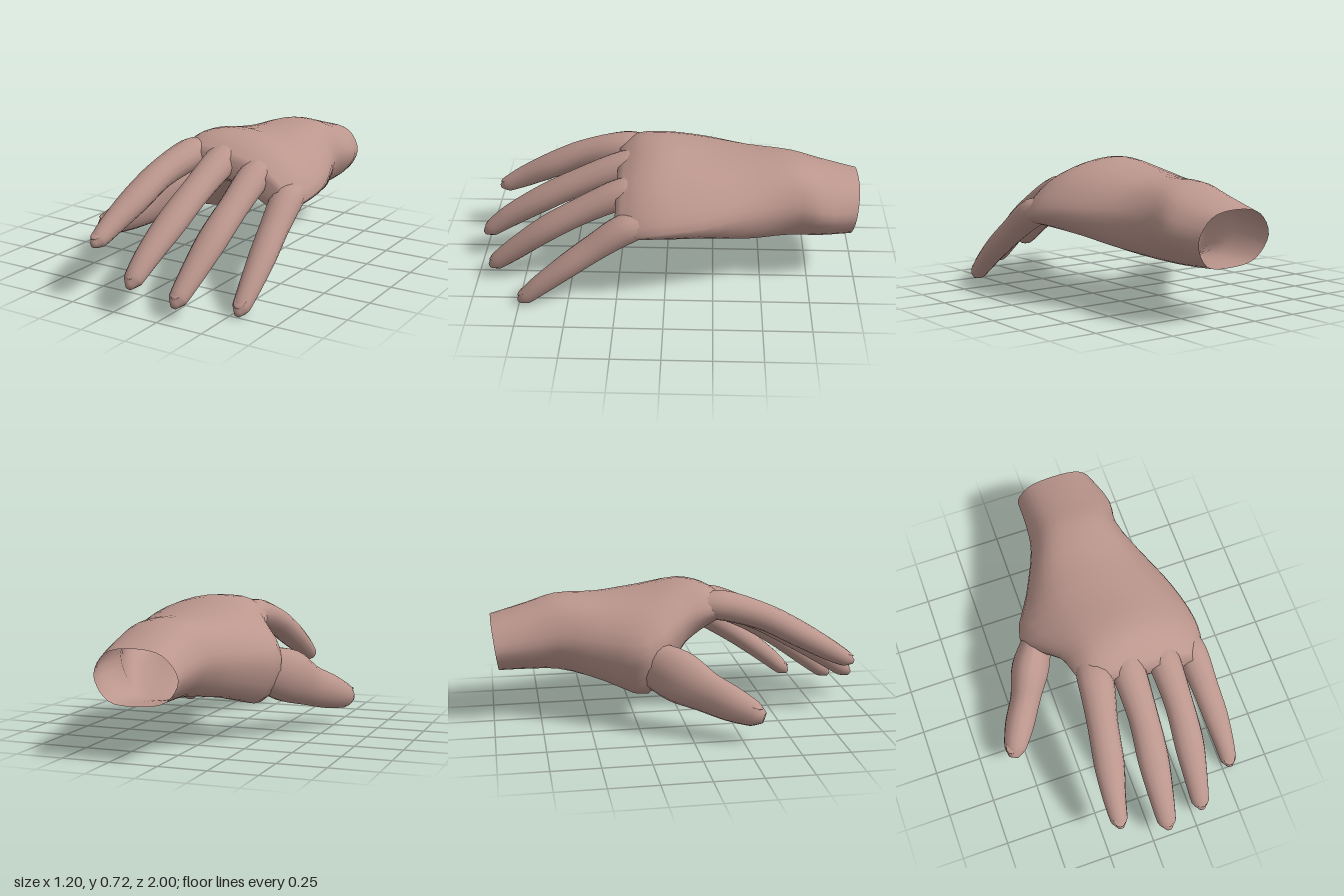
import * as THREE from 'three';

const skin = new THREE.MeshStandardMaterial({ color: 0xbb968d, side: THREE.DoubleSide });
skin.name = 'skin';

// Smooth skin over rings of points that run counterclockwise about the path,
// open at the first ring and closed at the last
function skinRings(rings) {
  const n = rings[0].length, pos = [], idx = [], last = (rings.length - 1) * n;
  rings.forEach(r => r.forEach(p => pos.push(p.x, p.y, p.z)));
  const centre = new THREE.Vector3();
  rings[rings.length - 1].forEach(p => centre.addScaledVector(p, 1 / n));
  pos.push(centre.x, centre.y, centre.z);
  for (let i = 0; i < n; i++) {
    const next = (i + 1) % n;
    for (let j = 0; j < last; j += n) {
      idx.push(j + i, j + next, j + n + i, j + next, j + n + next, j + n + i);
    }
    idx.push(last + n, last + i, last + next);
  }
  const g = new THREE.BufferGeometry();
  g.setAttribute('position', new THREE.Float32BufferAttribute(pos, 3));
  g.setIndex(idx);
  g.computeVertexNormals();
  return g;
}

// Digit along joints [x, y, z, half width, half thickness]
function digit(name, joints) {
  const path = new THREE.CatmullRomCurve3(joints.map(j => new THREE.Vector3(j[0], j[1], j[2])));
  const size = new THREE.CatmullRomCurve3(joints.map(j => new THREE.Vector3(j[3], j[4], 0)));
  const rings = [], up = new THREE.Vector3(0, 1, 0), steps = (joints.length - 1) * 4;
  for (let s = 0; s <= steps; s++) {
    const c = path.getPoint(s / steps), r = size.getPoint(s / steps);
    const t = path.getTangent(s / steps);
    const side = new THREE.Vector3().crossVectors(up, t).normalize();
    const top = new THREE.Vector3().crossVectors(t, side);
    const ring = [];
    for (let i = 0; i < 14; i++) {
      const a = i / 14 * Math.PI * 2;
      ring.push(c.clone().addScaledVector(side, Math.cos(a) * r.x).addScaledVector(top, Math.sin(a) * r.y));
    }
    rings.push(ring);
  }
  const mesh = new THREE.Mesh(skinRings(rings), skin);
  mesh.name = name;
  return mesh;
}

// Palm sections: z, then outline from the little-finger edge over the back and under the palm
const palmSections = [
  [-0.98, [[.335, .41], [.27, .52], [.12, .55], [-.03, .52], [-.10, .41], [-.03, .3], [.12, .27], [.27, .29]]],
  [-0.80, [[.385, .43], [.30, .56], [.12, .61], [-.03, .57], [-.105, .43], [-.03, .3], [.12, .27], [.28, .28]]],
  [-0.65, [[.37, .45], [.29, .61], [.12, .65], [-.04, .61], [-.13, .45], [-.05, .3], [.12, .26], [.28, .28]]],
  [-0.42, [[.445, .47], [.32, .61], [.10, .655], [-.12, .60], [-.235, .43], [-.15, .245], [.12, .295], [.39, .32]]],
  [-0.20, [[.53, .46], [.38, .62], [.11, .68], [-.15, .63], [-.345, .43], [-.235, .19], [.13, .355], [.46, .36]]],
  [0.02, [[.578, .45], [.43, .62], [.15, .718], [-.08, .69], [-.19, .56], [-.10, .42], [.20, .42], [.50, .38]]],
  [0.15, [[.57, .43], [.42, .60], [.15, .69], [-.06, .69], [-.15, .59], [-.06, .50], [.22, .46], [.49, .38]]],
  [0.25, [[.53, .41], [.39, .555], [.14, .625], [-.05, .63], [-.11, .58], [-.04, .54], [.24, .50], [.46, .39]]],
];

function palm() {
  const outlines = palmSections.map(([z, pts]) => new THREE.CatmullRomCurve3(
    // the wrist opening leans slightly back at the top
    pts.map(([x, y]) => new THREE.Vector3(x, y, z < -0.9 ? z - (y - .41) * .13 : z)), true));
  const columns = 32, steps = 21;
  const lengthwise = [];
  for (let i = 0; i < columns; i++) {
    lengthwise.push(new THREE.CatmullRomCurve3(outlines.map(o => o.getPoint(i / columns))));
  }
  const rings = [];
  for (let s = 0; s <= steps; s++) rings.push(lengthwise.map(c => c.getPoint(s / steps)));
  const mesh = new THREE.Mesh(skinRings(rings), skin);
  mesh.name = 'palmAndWrist';
  return mesh;
}

// Thin raised nail at a fingertip
function nail(name, x, y, z, pitch, yaw = 0) {
  const mesh = new THREE.Mesh(new THREE.SphereGeometry(1, 10, 4, 0, Math.PI * 2, 0, Math.PI / 2), skin);
  mesh.scale.set(.032, .008, .042);
  mesh.position.set(x, y, z);
  mesh.rotation.set(pitch, yaw, 0, 'YXZ');
  mesh.name = name;
  return mesh;
}

export function createModel() {
  const hand = new THREE.Group();
  hand.name = 'hand';
  hand.add(palm());

  hand.add(digit('indexFinger', [
    [-.055, .605, .11, .08, .065], [-.06, .605, .22, .094, .08], [-.10, .54, .45, .08, .072],
    [-.125, .46, .61, .08, .07], [-.155, .36, .79, .06, .058],
    [-.165, .305, .89, .045, .042], [-.167, .287, .93, .014, .014]]));
  hand.add(digit('middleFinger', [
    [.12, .61, .11, .075, .065], [.12, .585, .22, .09, .08], [.12, .485, .46, .08, .072],
    [.108, .385, .64, .083, .07], [.092, .255, .84, .066, .06],
    [.085, .17, .95, .05, .045], [.085, .14, .99, .016, .016]]));
  hand.add(digit('ringFinger', [
    [.315, .555, .11, .075, .065], [.322, .535, .22, .086, .08], [.33, .43, .44, .077, .07],
    [.325, .325, .61, .08, .067], [.312, .185, .79, .063, .058],
    [.303, .098, .895, .048, .045], [.302, .068, .933, .016, .016]]));
  hand.add(digit('littleFinger', [
    [.485, .46, .1, .072, .06], [.498, .43, .2, .083, .078], [.515, .325, .36, .074, .068],
    [.53, .23, .49, .07, .062], [.54, .118, .63, .056, .053],
    [.542, .043, .715, .044, .042], [.542, .014, .75, .015, .015]]));
  hand.add(digit('thumb', [
    [-.24, .365, -.2, .075, .12], [-.335, .312, -.06, .102, .142],
    [-.415, .243, .08, .082, .11], [-.485, .2, .19, .08, .095],
    [-.55, .16, .30, .06, .066], [-.573, .145, .345, .025, .03]]));

  hand.add(nail('indexNail', -.166, .338, .895, .5));
  hand.add(nail('middleNail', .086, .207, .955, .6));
  hand.add(nail('ringNail', .304, .135, .903, .65));
  hand.add(nail('littleNail', .542, .078, .725, .7));
  hand.add(nail('thumbNail', -.566, .208, .30, .3, -.5));
  return hand;
}
